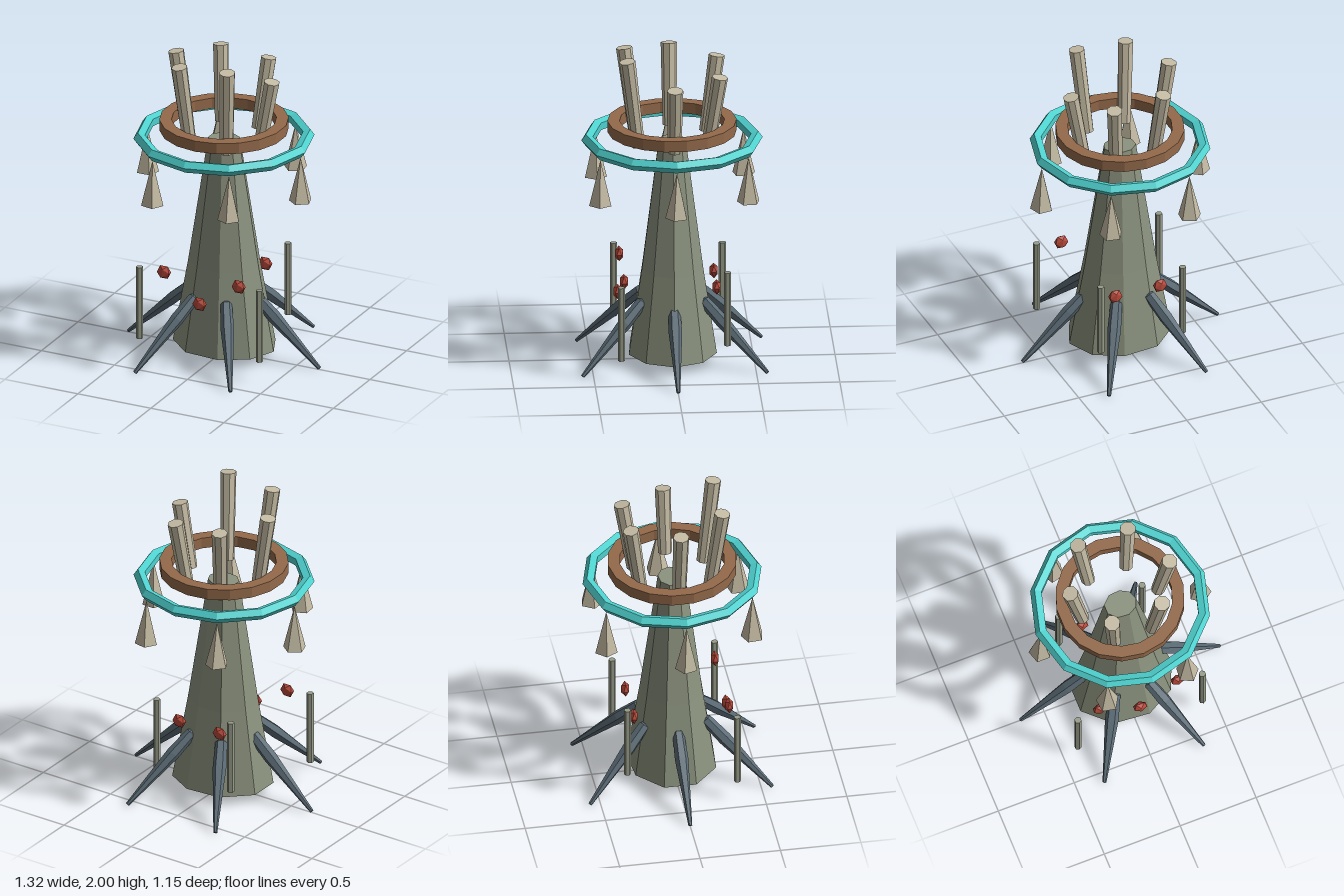
import * as THREE from 'three';

const mat = (name, color) => {
  const m = new THREE.MeshStandardMaterial({ color, flatShading: true });
  m.name = name;
  return m;
};

export function createModel() {
  const model = new THREE.Group();
  const bark = mat('greyGreenBark', 0x8c937f);
  const bone = mat('paleBone', 0xc5bca4);
  const slate = mat('slateRoot', 0x5b6b75);
  const teal = mat('teal', 0x4fd3d0);
  const brown = mat('brownWood', 0x946a4b);
  const red = mat('redBerry', 0xb8493a);
  const stakeMat = mat('greyGreenStake', 0x989d8a);

  const add = (name, geometry, material, x = 0, y = 0, z = 0) => {
    const mesh = new THREE.Mesh(geometry, material);
    mesh.name = name;
    mesh.position.set(x, y, z);
    model.add(mesh);
    return mesh;
  };
  // point at a given angle, radius and height
  const polar = (a, r, y) => new THREE.Vector3(Math.cos(a) * r, y, Math.sin(a) * r);
  // stand a y-axis geometry (starting at its origin) on a, pointing at b
  const aim = (mesh, a, b) => {
    mesh.position.copy(a);
    mesh.quaternion.setFromUnitVectors(new THREE.Vector3(0, 1, 0), b.clone().sub(a).normalize());
  };

  // Trunk: nine-sided tapering loft
  const half = [[0.34, 0], [0.265, 0.175], [0.09, 0.27], [-0.14, 0.25], [-0.3, 0.1]];
  const outline = [...half, ...half.slice(1).reverse().map(([x, z]) => [x, -z])];
  const levels = [[0.06, 1], [0.6, 0.7], [1.42, 0.31]];
  const n = outline.length;
  const pos = [], idx = [];
  for (const [y, s] of levels) for (const [x, z] of outline) pos.push(x * s, y, z * s);
  pos.push(0, levels[0][0], 0, 0, levels[2][0], 0);
  const bottom = n * 3, top = bottom + 1;
  for (let i = 0; i < n; i++) {
    const j = (i + 1) % n;
    for (let k = 0; k < 2; k++) {
      const a = k * n + i, b = k * n + j;
      idx.push(a, a + n, b, b, a + n, b + n);
    }
    idx.push(bottom, i, j, top, 2 * n + j, 2 * n + i);
  }
  const trunk = new THREE.BufferGeometry();
  trunk.setAttribute('position', new THREE.Float32BufferAttribute(pos, 3));
  trunk.setIndex(idx);
  trunk.computeVertexNormals();
  add('trunk', trunk, bark);

  // Rings around the crown
  add('tealRing', new THREE.TorusGeometry(0.517, 0.039, 5, 12).rotateX(Math.PI / 2), teal, 0, 1.428, 0);
  const band = [[0.397, 1.48], [0.397, 1.55], [0.322, 1.55], [0.322, 1.48], [0.397, 1.48]];
  add('woodenRing', new THREE.LatheGeometry(band.map(p => new THREE.Vector2(...p)), 18), brown);

  // Six roots, crown posts and hanging spikes
  const rootProfile = [[0, 0], [0.012, 0], [0.042, 0.42], [0.036, 0.59], [0, 0.62]];
  const rootGeo = new THREE.LatheGeometry(rootProfile.map(p => new THREE.Vector2(...p)), 6);
  const spikeGeo = new THREE.ConeGeometry(0.072, 0.29, 5);
  const postTops = [1.855, 1.993, 1.968, 1.938, 1.908, 1.88];
  for (let i = 0; i < 6; i++) {
    const a = i * Math.PI / 3;
    aim(add('root', rootGeo, slate), polar(a, 0.655, 0.009), polar(a, 0.2, 0.425));

    const from = polar(a, 0.25, 1.43), to = polar(a, 0.328, postTops[i]);
    const len = from.distanceTo(to);
    const post = new THREE.CylinderGeometry(0.05, 0.043, len, 8).translate(0, len / 2, 0);
    aim(add('crownPost', post, bone), from, to);

    const p = polar(a, 0.525, 1.245);
    add('hangingSpike', spikeGeo, bone, p.x, p.y, p.z).rotation.y = -a;
  }

  // Upright stakes and berries
  const stakeGeo = new THREE.CylinderGeometry(0.022, 0.022, 0.475, 6);
  const berryGeo = new THREE.IcosahedronGeometry(0.048, 0).scale(1, 1, 0.6);
  for (const s of [-1, 1]) {
    add('frontStake', stakeGeo, stakeMat, s * 0.41, 0.374, 0.335);
    add('backStake', stakeGeo, stakeMat, s * 0.275, 0.412, -0.325);
    add('frontBerry', berryGeo, red, s * 0.256, 0.595, 0.31);
    add('backBerry', berryGeo, red, s * 0.15, 0.51, -0.265);
  }
  add('middleBerry', berryGeo, red, 0, 0.44, 0.335);

  return model;
}
